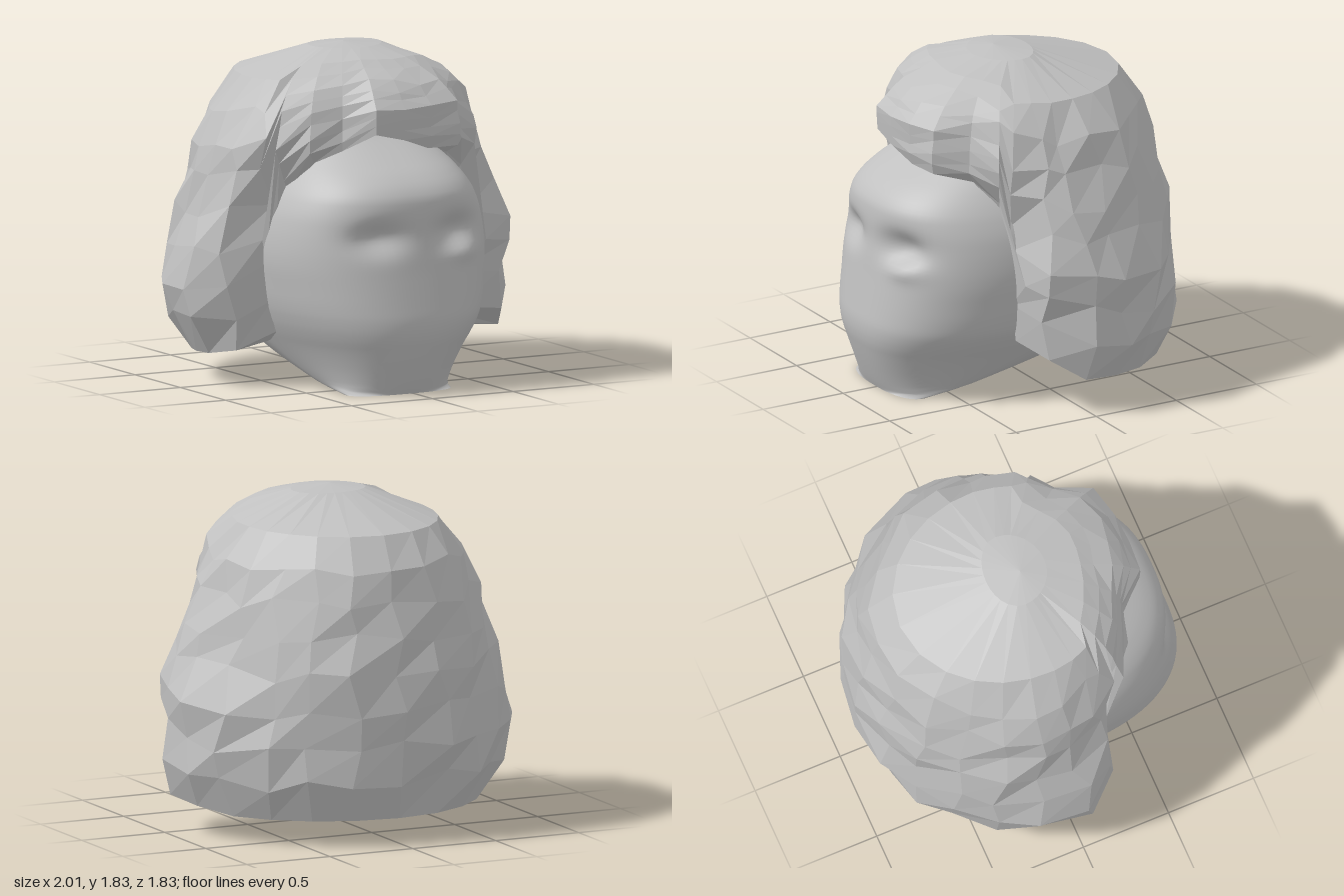
import * as THREE from 'three';

// Linear lookup in a table of [key, v1, v2, ...] rows with rising keys
function lookup(table, k) {
  if (k <= table[0][0]) return table[0].slice(1);
  for (let i = 1; i < table.length; i++) {
    const a = table[i - 1], b = table[i];
    if (k <= b[0]) {
      const t = (k - a[0]) / (b[0] - a[0]);
      return a.slice(1).map((v, n) => v + (b[n + 1] - v) * t);
    }
  }
  return table[table.length - 1].slice(1);
}

// Lookup averaged over a small window, for soft curves
function softLookup(table, k, w) {
  const s = [-1, -0.5, 0, 0.5, 1].map(o => lookup(table, k + o * w));
  return s[0].map((_, n) => s.reduce((sum, v) => sum + v[n], 0) / s.length);
}

// Polar radius of a superellipse with semi-axes a (x) and b (z)
const superRadius = (th, a, b, n) =>
  Math.pow(Math.pow(Math.abs(Math.sin(th)) / a, n) + Math.pow(Math.abs(Math.cos(th)) / b, n), -1 / n);

// Skin closed rings of points, listed from top to bottom
function loft(rings) {
  const m = rings[0].length, idx = [];
  for (let i = 0; i < rings.length - 1; i++)
    for (let j = 0; j < m; j++) {
      const a = i * m + j, d = i * m + (j + 1) % m, b = a + m, c = d + m;
      idx.push(a, b, d, b, c, d);
    }
  const g = new THREE.BufferGeometry();
  g.setAttribute('position', new THREE.Float32BufferAttribute(rings.flat(2), 3));
  g.setIndex(idx);
  return g;
}

// Head sections: y, half width, front z, back z
const HEAD = [
  [0, 0.32, 0.79, 0.53], [0.04, 0.355, 0.81, 0.03], [0.13, 0.42, 0.845, -0.33],
  [0.2, 0.47, 0.87, -0.62], [0.36, 0.575, 0.92, -0.72], [0.45, 0.61, 0.905, -0.75],
  [0.72, 0.652, 0.86, -0.76], [0.9, 0.635, 0.845, -0.74], [1.03, 0.595, 0.84, -0.7],
  [1.13, 0.535, 0.815, -0.66], [1.2, 0.48, 0.7, -0.62], [1.28, 0.41, 0.55, -0.55], [1.42, 0.25, 0.3, -0.4],
];
// Eye sockets and lids: x, y, x spread, y spread, depth
const DENTS = [
  [0.27, 0.87, 0.14, 0.09, -0.085], [-0.22, 0.86, 0.14, 0.08, -0.07],
  [0.31, 0.76, 0.1, 0.05, 0.03],
];

function headGeometry() {
  const rings = [], rows = 64, cols = 96;
  for (let i = 0; i <= rows; i++) {
    const y = 1.42 * (1 - i / rows);
    const [hw, zf, zb] = softLookup(HEAD, y, Math.min(0.07, y * 0.6));
    const zc = Math.max((zb + zf) * 0.5, 0.12), cx = -0.03 * Math.max(0, 1 - y / 0.4);
    const backN = 1.5 + 0.5 * Math.min(1, y / 0.3); // keel-like under the chin
    const ring = [];
    for (let j = 0; j < cols; j++) {
      const th = (j / cols) * Math.PI * 2, front = Math.cos(th) > 0;
      const r = superRadius(th, hw, front ? zf - zc : zc - zb, front ? 2.5 : backN);
      const x = cx + r * Math.sin(th);
      let z = zc + r * Math.cos(th);
      if (z > 0.4)
        for (const [ex, ey, sx, sy, d] of DENTS)
          z += d * Math.exp(-(((x - ex) / sx) ** 2) - ((y - ey) / sy) ** 2);
      ring.push([x, y, z]);
    }
    rings.push(ring);
  }
  // Crown and flat underside
  const top = rings[0].map(() => [0, 1.46, -0.05]);
  const base = rings[rows].map(p => [...p]);
  const centre = base.map(() => [-0.03, 0, 0.66]);
  const g = loft([top, ...rings, base, centre]);
  g.computeVertexNormals();
  return g;
}

// Hair sections: y, right width, left width, front z, back z, front squareness
const HAIR = [
  [0.13, 0.79, 0.88, 0.2, 0.84, 4], [0.24, 0.9, 0.99, 0.25, 0.88, 4],
  [0.38, 0.95, 1.0, 0.27, 0.91, 4.5], [0.55, 1.0, 0.99, 0.29, 0.91, 4.5],
  [0.8, 0.92, 1.0, 0.3, 0.9, 4.5], [1.0, 0.89, 0.89, 0.29, 0.88, 4],
  [1.2, 0.81, 0.81, 0.42, 0.85, 2.4], [1.32, 0.79, 0.76, 0.69, 0.8, 1.9],
  [1.55, 0.66, 0.67, 0.7, 0.76, 1.9], [1.68, 0.55, 0.54, 0.58, 0.63, 2],
  [1.78, 0.42, 0.37, 0.37, 0.26, 2], [1.81, 0.2, 0.22, 0.2, 0.14, 2],
];
// Lower hem height by angle from the front towards the model's left
const HEM = [
  [0, 1.37], [14, 1.31], [29, 1.31], [44, 1.24], [58, 1.07], [66, 0.35], [76, 0.32],
  [88, 0.2], [117, 0.14], [240, 0.14], [272, 0.18], [284, 0.21], [294, 0.3],
  [302, 1.07], [316, 1.24], [331, 1.31], [346, 1.41], [360, 1.37],
];
const HALF = [14, 29, 44, 58, 66, 76, 88, 102, 117, 132, 147, 163];
const COLUMNS = [0, ...HALF, 180, ...HALF.map(a => 360 - a).reverse()];
// Fringe locks pushed out or in, by column angle
const FRINGE = { 14: 1.02, 29: 1.08, 44: 0.95, 316: 0.95, 331: 0.88, 346: 1.02 };

function hairGeometry() {
  let seed = 11;
  const jitter = s => {
    seed = (seed * 16807) % 2147483647;
    return (seed / 2147483647 - 0.5) * 2 * s;
  };
  const rows = 9, rings = [];
  for (let i = 0; i <= rows; i++) {
    rings.push(COLUMNS.map(deg => {
      const [hem] = lookup(HEM, deg);
      const length = 1.81 - hem;
      const rough = i > 1 && i < rows ? length : 0;
      const y = 1.81 - length * Math.pow(i / rows, 1.1) + jitter(0.026 * rough);
      const [xr, xl, zf, zb, n] = lookup(HAIR, y);
      const th = THREE.MathUtils.degToRad(deg + (rough > 1.45 ? jitter(3) : 0));
      const front = Math.cos(th) > 0;
      const bulge = 1 + ((FRINGE[deg] ?? 1) - 1) * Math.min(1, i / 5);
      const r = superRadius(th, Math.sin(th) < 0 ? xr : xl, front ? zf : zb, front ? n : 2) * bulge
        + jitter(0.016 * rough);
      return [r * Math.sin(th), y, r * Math.cos(th)];
    }));
  }
  // Crown point and hem turned inwards to the head
  const crown = COLUMNS.map(() => [-0.02, 1.83, 0.05]);
  const tuck = rings[rows].map(([x, y, z]) => [x * 0.4, y + 0.06, z * 0.4]);
  const g = loft([crown, ...rings, tuck]).toNonIndexed();
  g.computeVertexNormals();
  return g;
}

export function createModel() {
  const model = new THREE.Group();
  model.name = 'headWithHair';
  const headGrey = new THREE.MeshStandardMaterial({ name: 'plain grey', color: 0xc0c0c0 });
  const hairGrey = headGrey.clone();
  hairGrey.flatShading = true;
  hairGrey.side = THREE.DoubleSide;
  hairGrey.name = 'faceted grey';

  const head = new THREE.Mesh(headGeometry(), headGrey);
  head.name = 'head';
  const hair = new THREE.Mesh(hairGeometry(), hairGrey);
  hair.name = 'hair';
  model.add(head, hair);
  return model;
}
